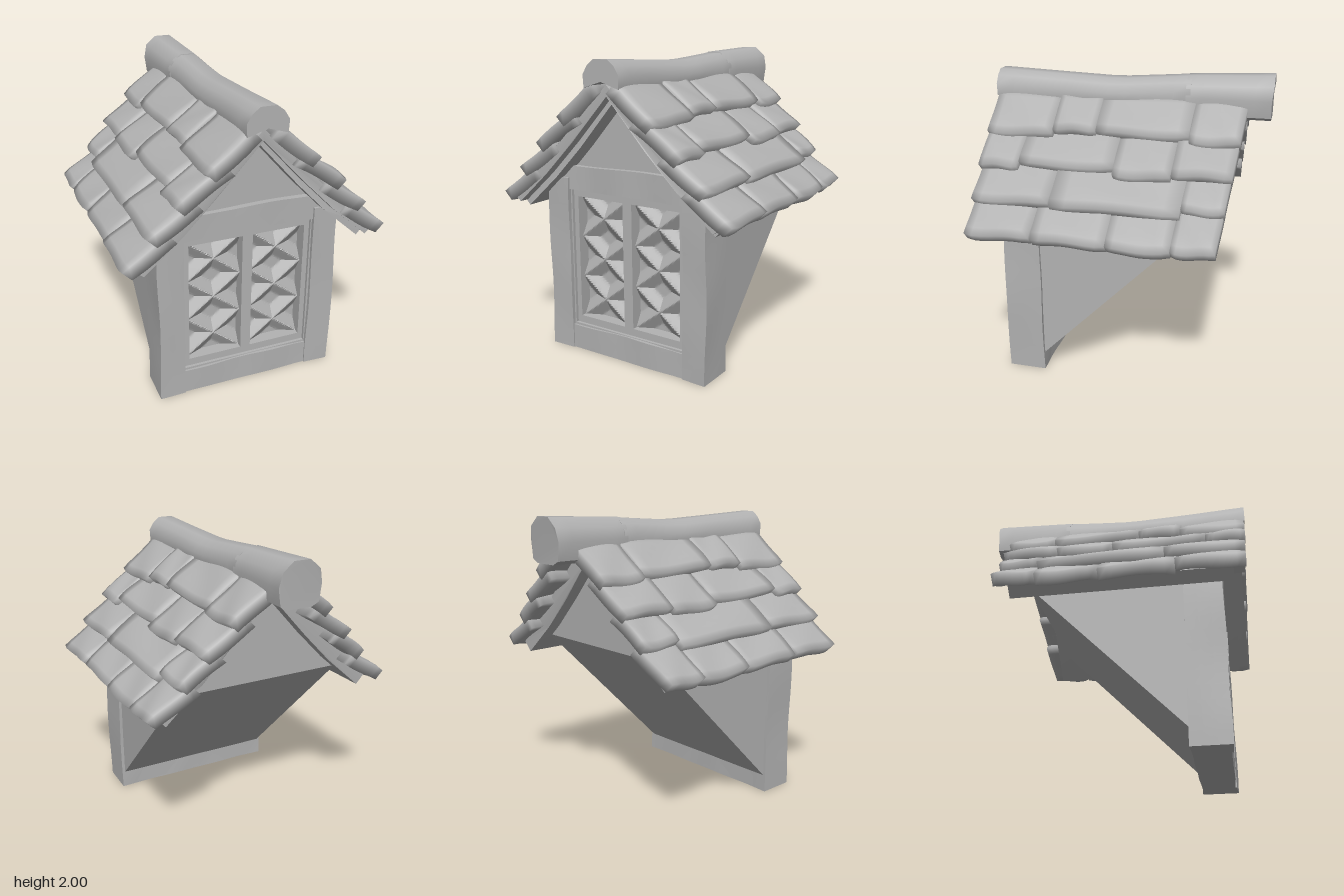
import * as THREE from 'three';
import { toCreasedNormals } from 'three/addons/utils/BufferGeometryUtils.js';

const stone = new THREE.MeshStandardMaterial({ color: 0xb2b2b2 });
stone.name = 'plain grey';

// Smooth position-based unevenness, so shared corners stay joined
const wave = (a, b, c) => Math.sin(a * 7.1 + b * 3.3 + 1.7) * Math.sin(b * 6.3 + c * 4.9) + 0.5 * Math.sin(c * 9.7 + a * 5.2);

// Moves every vertex by a rule, then recomputes the normals
function warp(geo, rule, crease = 0.6) {
  const p = geo.attributes.position;
  const v = new THREE.Vector3();
  for (let i = 0; i < p.count; i++) {
    v.fromBufferAttribute(p, i);
    rule(v);
    p.setXYZ(i, v.x, v.y, v.z);
  }
  return toCreasedNormals(geo, crease);
}

function add(parent, name, geo) {
  const mesh = new THREE.Mesh(geo, stone);
  mesh.name = name;
  parent.add(mesh);
}

// Slightly uneven timber between two corners
function beam(parent, name, [x0, y0, z0], [x1, y1, z1], amount = 0.005) {
  const w = x1 - x0, h = y1 - y0, d = z1 - z0;
  const n = (l) => Math.max(1, Math.round(l / 0.09));
  const geo = new THREE.BoxGeometry(w, h, d, n(w), n(h), n(d));
  geo.translate((x0 + x1) / 2, (y0 + y1) / 2, (z0 + z1) / 2);
  add(parent, name, warp(geo, (v) => {
    const { x, y, z } = v;
    v.x += amount * wave(y, z, x);
    if (y > 0.01) v.y += amount * wave(x, z, y);
    v.z += amount * wave(x * 2, y, z);
  }));
}

// Symmetric outline, given as its +x half from top to bottom, extruded from z0 to z1
function prism(half, z0, z1, steps = 1) {
  const left = half.filter(([x]) => x > 0).map(([x, y]) => [-x, y]).reverse();
  const shape = new THREE.Shape([...half, ...left].map(([x, y]) => new THREE.Vector2(x, y)));
  const geo = new THREE.ExtrudeGeometry(shape, { depth: z1 - z0, steps, bevelEnabled: false });
  return geo.translate(0, 0, z0);
}

// Roof tile: s runs down the 45 degree slope, n stands out from it
function tile(side, s0, s1, z0, z1, nTop, nLow, thick, seed) {
  const k = Math.SQRT1_2, zc = (z0 + z1) / 2, half = (z1 - z0) / 2;
  const geo = new THREE.BoxGeometry(1, 1, 2, 6, 1, 8);
  return warp(geo, (v) => {
    const t = v.x + 0.5, e = side * v.z;
    const s = s0 + (s1 - s0) * t - 0.01 * e ** 8 * t + 0.006 * Math.sin(e * 3 + seed) * t;
    const outer = nTop + (nLow - nTop) * t - 0.006 * e ** 8 - 0.01 * t ** 8
      + 0.007 * Math.sin(e * 2.6 + t * 4 + seed);
    const n = outer - (v.y < 0 ? thick - 0.01 * t ** 8 : 0);
    const z = zc + e * (half - 0.002 * t);
    v.set(side * k * (s + n), 1.78 + k * (n - s), z < 0 ? z * (1 - 0.025 * t) : z);
  }, 2.2);
}

export function createModel() {
  const model = new THREE.Group();
  model.name = 'dormer window';

  // Sloped body that sits in a larger roof, reaching up to the eaves
  const side = new THREE.Shape([[-0.5, 0.12], [0.51, 1.13], [-0.5, 1.13]].map(([x, y]) => new THREE.Vector2(x, y)));
  const wedge = new THREE.ExtrudeGeometry(side, { depth: 1.19, bevelEnabled: false });
  wedge.translate(0, 0, -0.595).rotateY(Math.PI / 2);
  add(model, 'slopedBody', wedge);
  add(model, 'gableBody', prism([[0, 1.76], [0.595, 1.165], [0.595, 1.13]], -0.51, 0.52));
  add(model, 'gablePanel', prism([[0, 1.76], [0.56, 1.2], [0.56, 1.15]], 0.52, 0.69));
  beam(model, 'wallBehindWindow', [-0.5, 0.01, 0.5], [0.5, 1.15, 0.6], 0);

  // Timber frame
  const frame = new THREE.Group();
  frame.name = 'timberFrame';
  model.add(frame);
  for (const s of [-1, 1]) {
    beam(frame, 'cornerPost', [s > 0 ? 0.445 : -0.615, 0, 0.5], [s > 0 ? 0.615 : -0.445, 1.2, 0.745]);
  }
  beam(frame, 'sillBeam', [-0.46, 0, 0.5], [0.46, 0.17, 0.735]);
  beam(frame, 'lintelBeam', [-0.5, 1.12, 0.55], [0.5, 1.285, 0.73]);

  // Window frame with two openings
  const rect = (Type, x0, y0, x1, y1) => new Type([[x0, y0], [x1, y0], [x1, y1], [x0, y1]].map(([x, y]) => new THREE.Vector2(x, y)));
  const casing = rect(THREE.Shape, -0.45, 0.165, 0.45, 1.13);
  const panes = [[-0.4, -0.035], [0.035, 0.4]];
  const y0 = 0.23, y1 = 1.07;
  for (const [a, b] of panes) casing.holes.push(rect(THREE.Path, a, y0, b, y1));
  const casingGeo = new THREE.ExtrudeGeometry(casing, { depth: 0.1, bevelEnabled: false });
  add(model, 'windowFrame', casingGeo.translate(0, 0, 0.6));
  const rim = rect(THREE.Shape, -0.45, 0.165, 0.45, 1.13);
  rim.holes.push(rect(THREE.Path, -0.435, 0.18, 0.435, 1.115));
  const rimGeo = new THREE.ExtrudeGeometry(rim, { depth: 0.03, bevelEnabled: false });
  add(model, 'windowRim', rimGeo.translate(0, 0, 0.69));

  // Diamond lattice panes: raised crossing ridges with hollow diamonds between
  const toRidge = (f) => Math.abs(f - Math.round(f)) * 2;
  for (const [a, b] of panes) {
    const w = b - a, h = y1 - y0;
    const pane = new THREE.PlaneGeometry(w, h, 32, 72).translate((a + b) / 2, (y0 + y1) / 2, 0);
    add(model, 'latticePane', warp(pane, (v) => {
      const p = (v.x - a) / w * 2, q = (v.y - y0) / h * 3;
      const d = Math.min(toRidge((2 * q - p) / 2), toRidge((2 * q + p) / 2));
      v.z = 0.665 - 0.05 * Math.min(1, d * 1.6);
    }, 0.5));
  }

  // Roof deck below the tiles
  const deck = prism([[0, 1.86], [0.78, 1.06], [0.72, 0.995], [0.47, 1.215], [0.27, 1.42], [0, 1.72]], -0.6, 0.82, 10);
  add(model, 'roofDeck', warp(deck, (v) => { v.z += 0.006 * wave(v.x, v.y, 0); }));
  const barge = prism([[0, 1.83], [0.75, 1.09], [0.78, 1.06], [0.74, 1.03], [0.5, 1.24], [0.28, 1.46], [0, 1.76]], 0.8, 0.885, 2);
  add(model, 'bargeBoard', warp(barge, (v) => { v.z += 0.006 * wave(v.x, v.y, 0); }));

  // Four overlapping rows of tiles on each slope
  const rows = [
    { s: [0.78, 1.115], n: [0.07, 0.135], z: [-0.7, -0.42, -0.01, 0.47, 0.9] },
    { s: [0.54, 0.87], n: [0.085, 0.155], z: [-0.725, -0.45, 0.39, 0.905] },
    { s: [0.27, 0.625], n: [0.09, 0.165], z: [-0.75, -0.36, 0.02, 0.65, 0.915] },
    { s: [0.02, 0.355], n: [0.115, 0.17], z: [-0.775, -0.44, 0.18, 0.47, 0.92] },
  ];
  const roof = new THREE.Group();
  roof.name = 'roofTiles';
  model.add(roof);
  for (const sd of [-1, 1]) {
    rows.forEach((r, j) => {
      for (let i = 0; i + 1 < r.z.length; i++) {
        const seed = j * 2.3 + i * 1.9;
        const drop = j ? 0.025 * Math.sin(seed * 2.1) : 0.008 * Math.sin(seed);
        const lift = 0.01 * Math.sin(seed * 1.3 + 1);
        add(roof, 'roofTile', tile(sd, r.s[0], r.s[1] + drop, r.z[i], r.z[i + 1], r.n[0], r.n[1] + lift, 0.09, seed));
      }
    });
  }

  // Ridge caps: a long sagging one and a short taller one at the back
  const frontCap = prism([[0.05, 1.98], [0.095, 1.945], [0.13, 1.89], [0.125, 1.81], [0, 1.85]], -0.4, 0.93, 12);
  add(model, 'frontRidgeCap', warp(frontCap, (v) => {
    const t = Math.abs(v.z - 0.1) / (v.z > 0.1 ? 0.83 : 0.5);
    if (v.y > 1.87) v.y -= 0.035 * (1 - t);
    v.x *= 1 + 0.03 * Math.sin(v.z * 9);
  }, 0.9));
  const backCap = prism([[0.055, 1.99], [0.125, 1.93], [0.145, 1.86], [0.13, 1.75], [0.08, 1.725]], -0.92, -0.37, 5);
  add(model, 'backRidgeCap', warp(backCap, (v) => {
    const t = (-0.37 - v.z) / 0.55;
    v.z -= v.y > 1.9 ? 0.01 * t : 0;
    v.y += (v.y > 1.9 ? 0.02 : 0) * t - 0.008;
    v.x *= 0.92 + 0.1 * t;
  }, 0.9));
  return model;
}
